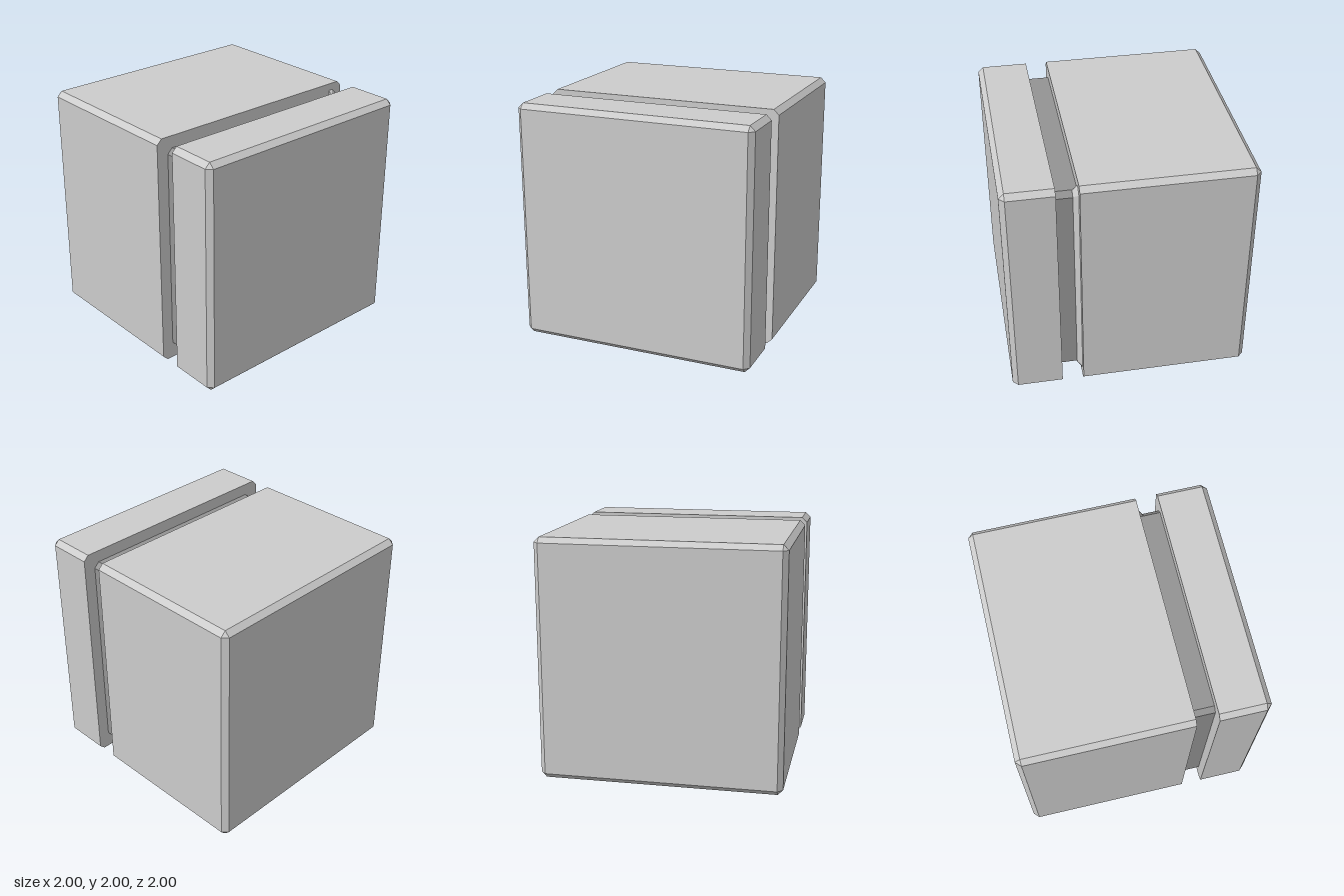
import * as THREE from 'three';
import { ConvexGeometry } from 'three/addons/geometries/ConvexGeometry.js';

const BEVEL = 0.043;

// Square ring in the plane at x, with half size r and corners cut by c
function ring(x, r, c) {
  const points = [];
  for (const sy of [-1, 1]) {
    for (const sz of [-1, 1]) {
      points.push(new THREE.Vector3(x, 1 + sy * (r - c), sz * r));
      if (c > 0) points.push(new THREE.Vector3(x, 1 + sy * r, sz * (r - c)));
    }
  }
  return points;
}

export function createModel() {
  const model = new THREE.Group();
  const lightGrey = new THREE.MeshStandardMaterial({ color: 0xcccccc });
  lightGrey.name = 'lightGrey';
  const darkGrey = new THREE.MeshStandardMaterial({ color: 0x949494 });
  darkGrey.name = 'darkGrey';

  const add = (name, points, material) => {
    const mesh = new THREE.Mesh(new ConvexGeometry(points), material);
    mesh.name = name;
    model.add(mesh);
  };

  // Block from a sharp inner face to a bevelled outer face
  const block = (inner, outer) => [
    ...ring(inner, 1, BEVEL),
    ...ring(outer - Math.sign(outer) * BEVEL, 1, BEVEL),
    ...ring(outer, 1 - BEVEL, 0),
  ];
  add('mainBlock', block(0.4, -1), lightGrey);
  add('sideSlab', block(0.58, 1), lightGrey);

  // Recessed core that joins the two blocks
  add('grooveCore', [...ring(0.4, 0.9, BEVEL), ...ring(0.58, 0.9, BEVEL)], darkGrey);

  // Small bevelled strip along the rear edge of the core
  const strip = [];
  for (const s of [-1, 1]) {
    strip.push(
      new THREE.Vector3(0.4, 1 + s * 0.9, -0.94),
      new THREE.Vector3(0.4, 1 + s * 0.94, -0.9),
      new THREE.Vector3(0.4, 1 + s * 0.94, -0.86),
      new THREE.Vector3(0.44, 1 + s * 0.86, -0.9),
      new THREE.Vector3(0.44, 1 + s * 0.9, -0.86),
    );
  }
  add('rearStrip', strip, lightGrey);
  return model;
}
